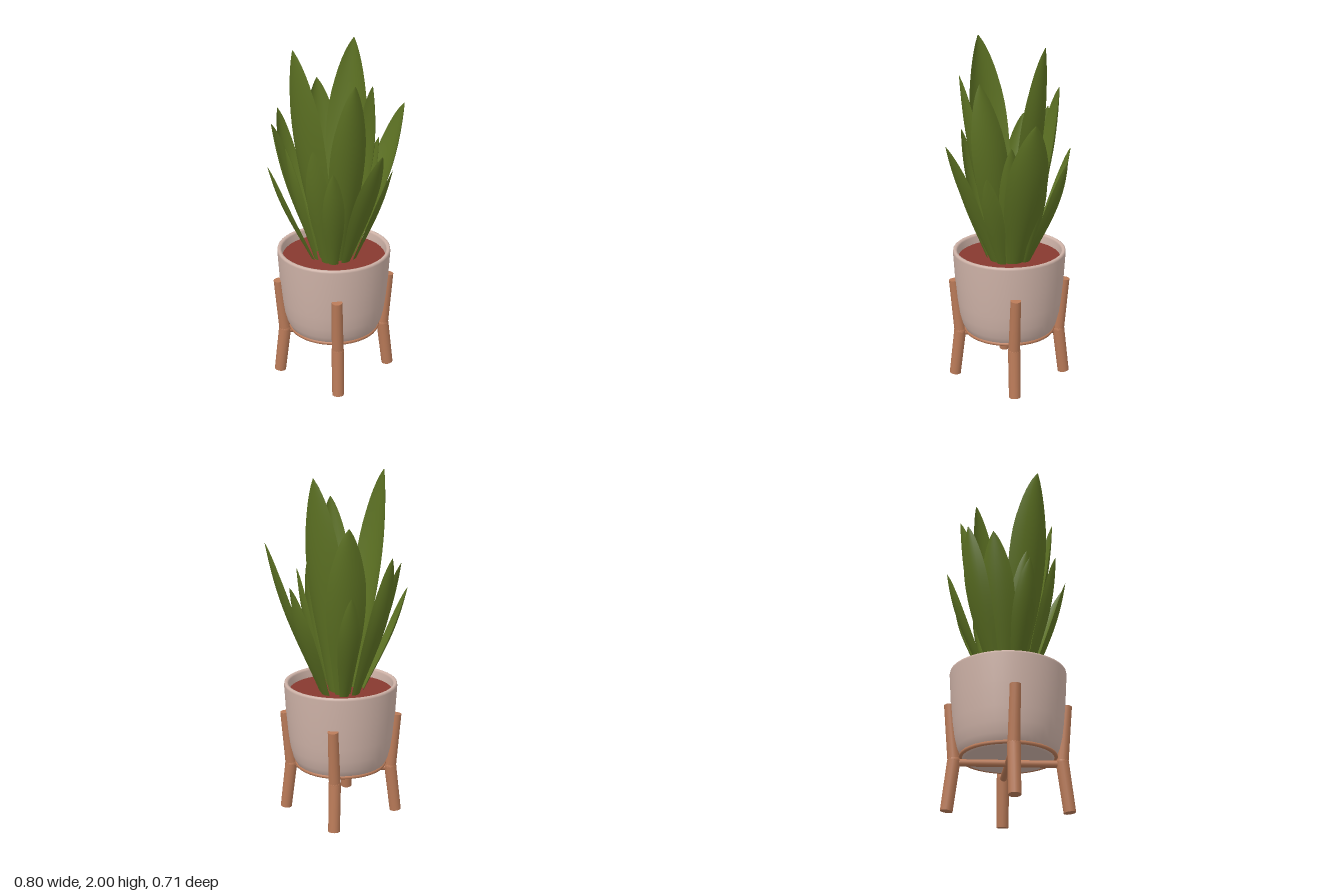
import * as THREE from 'three';

const material = (name, color, side = THREE.FrontSide) => {
  const m = new THREE.MeshStandardMaterial({ color, side });
  m.name = name;
  return m;
};
const V = (x, y, z) => new THREE.Vector3(x, y, z);

// Half-width of a blade along its length, as a share of its widest point
const outline = new THREE.SplineCurve([
  [0, 0.36], [0.2, 0.62], [0.4, 0.9], [0.57, 1], [0.72, 0.92], [0.86, 0.62], [0.95, 0.3], [1, 0.02],
].map(([t, w]) => new THREE.Vector2(t, w)));

// A cupped blade from the soil to its tip; bulge bows it outward,
// twist turns its face about the vertical
function leafGeometry(tip, width, root, bulge, twist) {
  const angle = Math.atan2(tip.z, tip.x);
  const base = V(Math.cos(angle) * root, 0.71, Math.sin(angle) * root);
  const out = V(Math.cos(angle + twist), 0, Math.sin(angle + twist));
  const across = V(-out.z, 0, out.x);
  const geo = new THREE.PlaneGeometry(2, 1, 8, 18);
  const pos = geo.attributes.position;
  for (let i = 0; i < pos.count; i++) {
    const s = pos.getX(i);
    const o = outline.getPoint(pos.getY(i) + 0.5);
    const t = Math.min(o.x, 1);
    const half = o.y * width / 2;
    const p = base.clone().lerp(tip, t)
      .addScaledVector(out, bulge * Math.sin(Math.PI * t ** 1.3) - 0.38 * half * s * s)
      .addScaledVector(across, half * s);
    pos.setXYZ(i, p.x, p.y, p.z);
  }
  geo.computeVertexNormals();
  return geo;
}

export function createModel() {
  const model = new THREE.Group();
  model.name = 'pottedPlant';
  const center = V(-0.012, 0, 0.025);
  const clay = material('paleClay', 0xcfb3a8);
  const wood = material('wood', 0xb97a58);
  const earth = material('redSoil', 0x87392f);
  const green = material('leafGreen', 0x5d7223, THREE.DoubleSide);

  const body = new THREE.Group();
  body.name = 'planter';
  body.position.copy(center);
  model.add(body);
  const add = (name, geo, mat, parent = body) => {
    const mesh = new THREE.Mesh(geo, mat);
    mesh.name = name;
    parent.add(mesh);
    return mesh;
  };

  // Pot: closed bottom, rounded foot, rolled rim and inner wall
  const profile = [
    [0, 0.294], [0.235, 0.294], [0.245, 0.296], [0.262, 0.312], [0.28, 0.35], [0.295, 0.41],
    [0.306, 0.49], [0.318, 0.62], [0.328, 0.785], [0.326, 0.796], [0.319, 0.8],
    [0.308, 0.797], [0.303, 0.787], [0.298, 0.73],
  ].map(([r, y]) => new THREE.Vector2(r, y));
  add('pot', new THREE.LatheGeometry(profile, 40), clay);
  const soil = add('soil', new THREE.CircleGeometry(0.301, 40), earth);
  soil.rotation.x = -Math.PI / 2;
  soil.position.y = 0.745;

  // Stand: four bent legs, a crossed brace and a supporting ring
  const rod = (name, a, b, ra, rb, parent) => {
    const dir = b.clone().sub(a);
    const mesh = add(name, new THREE.CylinderGeometry(rb, ra, dir.length(), 14), wood, parent);
    mesh.position.copy(a).add(b).multiplyScalar(0.5);
    mesh.quaternion.setFromUnitVectors(V(0, 1, 0), dir.normalize());
  };
  for (const sx of [-1, 1]) {
    for (const sz of [-1, 1]) {
      const leg = new THREE.Group();
      leg.name = (sz > 0 ? 'front' : 'back') + (sx > 0 ? 'Left' : 'Right') + 'Leg';
      body.add(leg);
      const top = V(0.22 * sx, 0.605, 0.239 * sz);
      const knee = V(0.203 * sx, 0.28, 0.213 * sz);
      const foot = V(0.226 * sx, 0.004, 0.237 * sz);
      rod('upperLeg', knee, top, 0.034, 0.03, leg);
      rod('lowerLeg', foot, knee, 0.034, 0.036, leg);
      add('knee', new THREE.SphereGeometry(0.036, 14, 10), wood, leg).position.copy(knee);
    }
  }
  for (const s of [-1, 1]) {
    rod('crossBrace', V(-0.203, 0.272, -0.213 * s), V(0.203, 0.272, 0.213 * s), 0.02, 0.02);
  }
  const ring = add('supportRing', new THREE.TorusGeometry(0.259, 0.011, 8, 40), wood);
  ring.rotation.x = Math.PI / 2;
  ring.position.y = 0.306;

  // Leaves: tip x, y, z, width, root distance, bulge, twist
  const plant = new THREE.Group();
  plant.name = 'leaves';
  plant.position.copy(center);
  model.add(plant);
  const leaves = [
    [-0.06, 2.0, 0.30, 0.27, 0.08, 0.03, 0],
    [-0.05, 1.98, -0.20, 0.26, 0.06, 0.03, 0],
    [0.245, 1.80, 0.01, 0.21, 0.06, 0.055, -1.1],
    [0.245, 1.83, 0.16, 0.21, 0.08, 0.025, 0],
    [-0.265, 1.73, -0.13, 0.22, 0.09, 0.03, 0],
    [0.20, 1.62, -0.345, 0.24, 0.11, 0.035, 0],
    [-0.40, 1.57, 0.06, 0.16, 0.12, 0.045, 0],
    [-0.33, 1.52, 0.19, 0.19, 0.1, 0.025, 0],
    [0.08, 1.48, 0.31, 0.14, 0.11, 0.03, 0],
    [0.40, 1.47, 0.12, 0.16, 0.11, 0.015, 0],
    [0.17, 1.46, -0.15, 0.14, 0.1, 0.02, -0.4],
    [-0.145, 1.44, 0.28, 0.15, 0.11, 0.025, 0],
    [-0.06, 1.37, -0.355, 0.14, 0.12, 0.035, 0],
    [-0.33, 1.37, -0.165, 0.12, 0.12, 0.03, 0],
    [0.20, 1.37, 0.285, 0.12, 0.12, 0.025, 0],
    [-0.21, 1.34, 0.355, 0.13, 0.12, 0.025, 0],
    [0.31, 1.31, -0.095, 0.12, 0.12, 0.02, 0],
    [0.0, 1.28, -0.26, 0.08, 0.12, 0.02, 0],
  ];
  leaves.forEach(([x, y, z, ...shape], i) => {
    add('leaf' + (i + 1), leafGeometry(V(x, y, z).sub(center), ...shape), green, plant);
  });
  return model;
}
